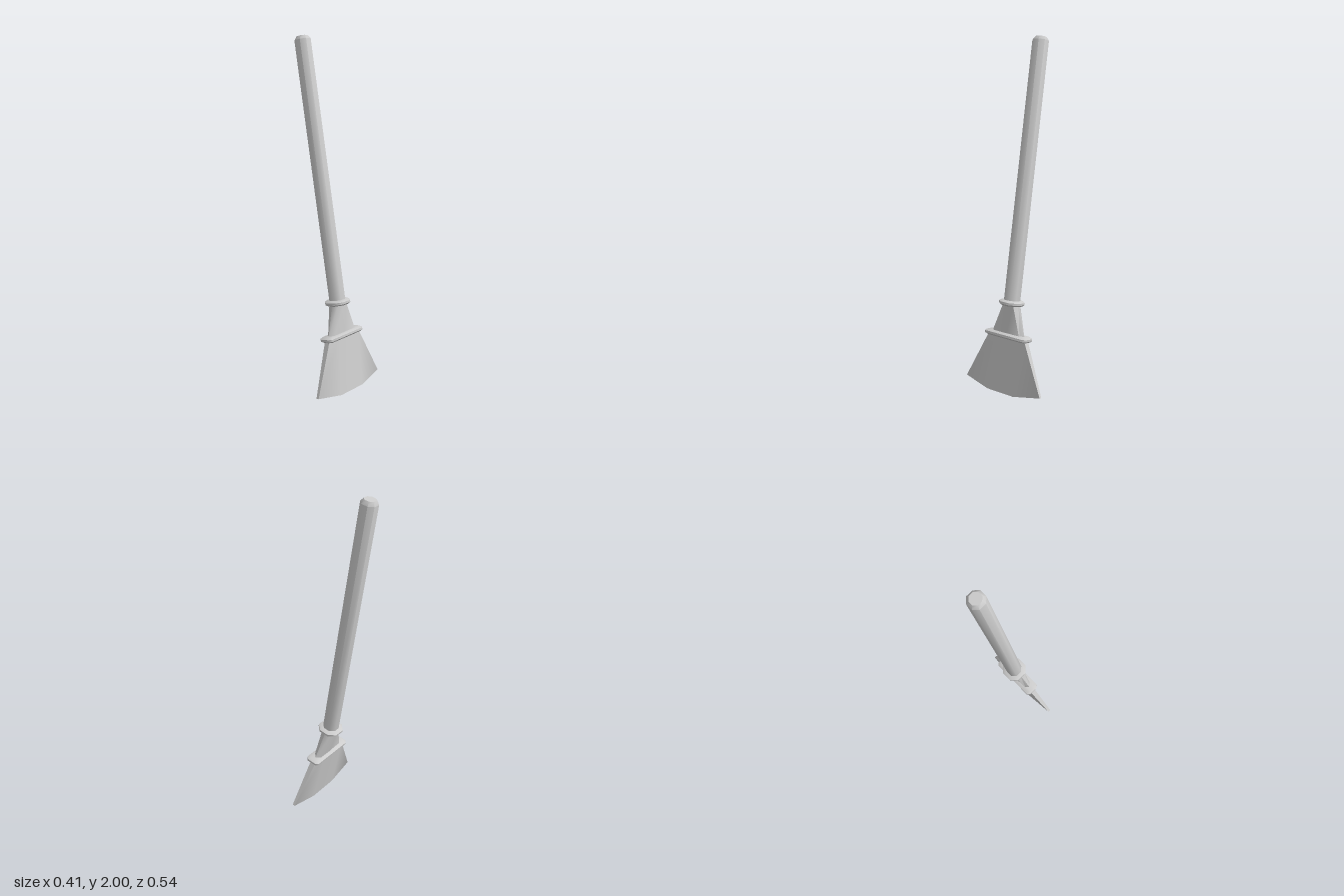
import * as THREE from 'three';
import { toCreasedNormals } from 'three/addons/utils/BufferGeometryUtils.js';

const grey = new THREE.MeshStandardMaterial({ color: 0xcccccc });
grey.name = 'plain grey';

// Skin a stack of equal-length [x, z] sections, bottom to top, and cap both ends.
// Section points run from +z towards +x; each may carry its own height as [x, z, y].
function loft(name, levels) {
  const n = levels[0].section.length;
  const pos = [], idx = [];
  for (const { y, section } of levels) for (const [x, z, dy = 0] of section) pos.push(x, y + dy, z);
  for (let l = 0; l < levels.length - 1; l++) {
    for (let i = 0; i < n; i++) {
      const a = l * n + i, b = l * n + (i + 1) % n;
      idx.push(a, b, b + n, a, b + n, a + n);
    }
  }
  [0, levels.length - 1].forEach((l, end) => {
    const s = levels[l].section, c = pos.length / 3;
    const mean = k => s.reduce((t, p) => t + (p[k] || 0), 0) / n;
    pos.push(mean(0), levels[l].y + mean(2), mean(1));
    for (let i = 0; i < n; i++) {
      const a = l * n + i, b = l * n + (i + 1) % n;
      if (end) idx.push(c, a, b); else idx.push(c, b, a);
    }
  });
  const g = new THREE.BufferGeometry();
  g.setAttribute('position', new THREE.Float32BufferAttribute(pos, 3));
  g.setIndex(idx);
  const mesh = new THREE.Mesh(toCreasedNormals(g, 0.85), grey);
  mesh.name = name;
  return mesh;
}

// Rectangle with cut corners, half-sizes hx and hz.
const cutRect = (hx, hz, c) => [
  [hx - c, hz], [hx, hz - c], [hx, c - hz], [hx - c, -hz],
  [c - hx, -hz], [-hx, c - hz], [-hx, hz - c], [c - hx, hz],
];
const octagon = r => cutRect(r, r, r * 0.56);

// Collar with bevelled rims around the given centre height.
function collar(name, y, h, hx, hz, cut) {
  const b = 0.012;
  return loft(name, [[-h, b], [-h * 0.4, 0], [h * 0.4, 0], [h, b]].map(
    ([dy, inset]) => ({ y: y + dy, section: cutRect(hx - inset, hz - inset, cut) })));
}

export function createModel() {
  const broom = new THREE.Group();
  broom.name = 'broom';
  const tilted = new THREE.Group();
  tilted.name = 'tiltedBroom';
  tilted.position.set(0.186, 0.004, 0);
  tilted.rotation.z = THREE.MathUtils.degToRad(10);
  broom.add(tilted);

  // Octagonal handle with a shallow bevelled tip
  tilted.add(loft('handle', [
    { y: 0.5, section: octagon(0.044) },
    { y: 2.0, section: octagon(0.044) },
    { y: 2.02, section: octagon(0.03) },
  ]));

  // Neck flattening from the round handle to the wide pointed base
  const neckBase = [[0, 0.122], [0.021, 0.1], [0.023, 0], [0.021, -0.1],
    [0, -0.122], [-0.021, -0.1], [-0.023, 0], [-0.021, 0.1]];
  const neckTop = neckBase.map((_, i) =>
    [0.046 * Math.sin(i * Math.PI / 4), 0.05 * Math.cos(i * Math.PI / 4)]);
  tilted.add(loft('neck', [{ y: 0.32, section: neckBase }, { y: 0.51, section: neckTop }]));

  tilted.add(collar('upperCollar', 0.515, 0.015, 0.068, 0.068, 0.036));
  tilted.add(collar('lowerCollar', 0.327, 0.015, 0.045, 0.15, 0.016));

  // Flared bristle head, thin at its raised outer corners
  const head = (xEnd, zEnd, xMid, zMid, lift) => [
    [xEnd, zEnd, lift], [xMid, zMid], [xMid, -zMid], [xEnd, -zEnd, lift],
    [-xEnd, -zEnd, lift], [-xMid, -zMid], [-xMid, zMid], [-xEnd, zEnd, lift]];
  tilted.add(loft('bristleHead', [
    { y: 0, section: head(0.008, 0.271, 0.021, 0.095, 0.035) },
    { y: 0.325, section: head(0.017, 0.128, 0.021, 0.05, 0) },
  ]));
  return broom;
}
